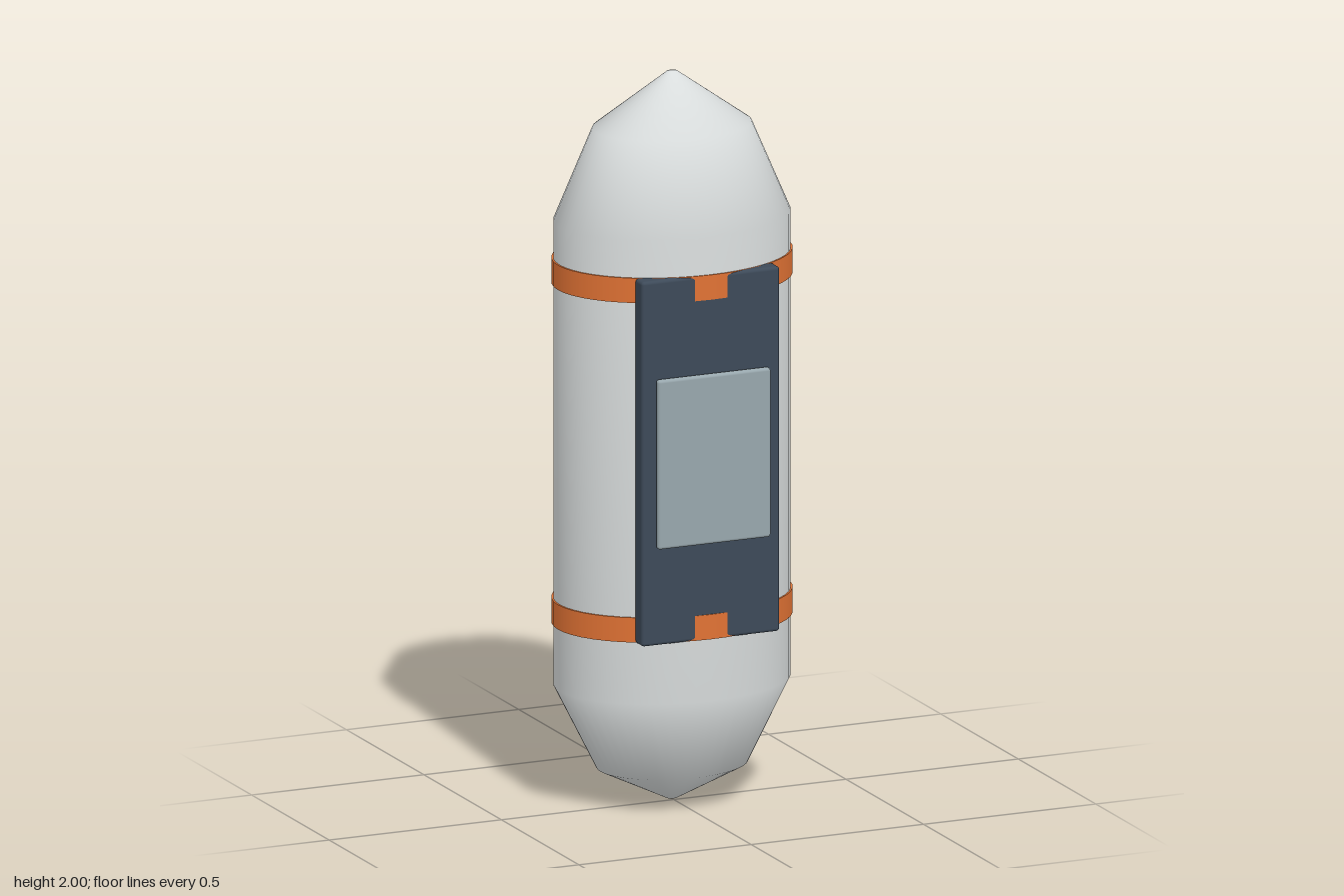
import * as THREE from 'three';
import { RoundedBoxGeometry } from 'three/addons/geometries/RoundedBoxGeometry.js';

const material = (name, color) => {
  const m = new THREE.MeshStandardMaterial({ color });
  m.name = name;
  return m;
};

export function createModel() {
  const shell = material('pale grey shell', 0xd9dddd);
  const orange = material('orange band', 0xe07234);
  const navy = material('dark slate panel', 0x3d4a59);
  const glass = material('blue grey plate', 0x98a7ad);

  const group = new THREE.Group();
  const add = (name, geometry, mat, x, y, z) => {
    const mesh = new THREE.Mesh(geometry, mat);
    mesh.name = name;
    mesh.position.set(x, y, z);
    group.add(mesh);
    return mesh;
  };

  const centreZ = -0.011;
  const depth = 0.773; // oval cross-section: z radius / x radius

  // Capsule body, turned from a faceted profile with smooth normals
  const profile = [
    [0, 0.003], [0.014, 0.006], [0.208, 0.1], [0.326, 0.333],
    [0.326, 1.605], [0.219, 1.853], [0.014, 1.999], [0, 2],
  ].map(([r, y]) => new THREE.Vector2(r, y));
  const body = new THREE.LatheGeometry(profile, 48);
  body.scale(1, 1, depth);
  add('body', body, shell, 0, 0, centreZ);

  // Two slim bands around the body
  for (const [name, y] of [['lowerBand', 0.537], ['upperBand', 1.468]]) {
    const band = new THREE.CylinderGeometry(0.331, 0.331, 0.068, 48);
    band.scale(1, 1, depth);
    add(name, band, orange, 0, y, centreZ);
  }

  // Front panel set into the body, with a raised plate
  add('frontPanel', new RoundedBoxGeometry(0.4, 1, 0.05, 3, 0.009), navy, 0, 1.002, 0.217);
  add('frontPlate', new RoundedBoxGeometry(0.327, 0.464, 0.021, 3, 0.008), glass, 0, 1.002, 0.2555);

  return group;
}
